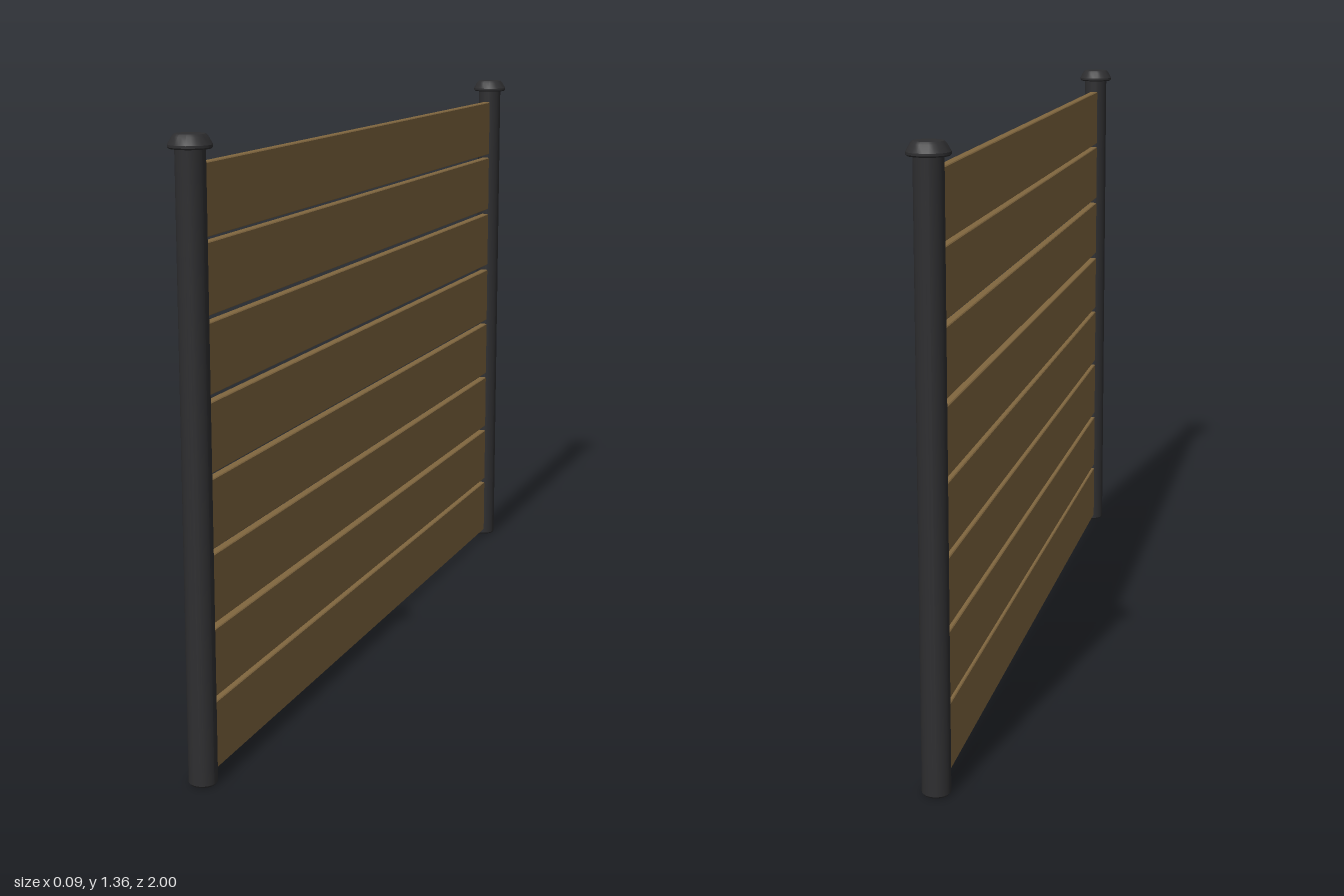
import * as THREE from 'three';
import { toCreasedNormals } from 'three/addons/utils/BufferGeometryUtils.js';

const metal = new THREE.MeshStandardMaterial({ color: 0x2e2e30 });
const wood = new THREE.MeshStandardMaterial({ color: 0x80663f });

const POST_Z = 0.955;

// Turned part from [radius, height] pairs, smooth around and crisp at the edges
function turned(name, profile) {
  const points = profile.map(([r, y]) => new THREE.Vector2(r, y));
  const geometry = toCreasedNormals(new THREE.LatheGeometry(points, 24), 0.5);
  const mesh = new THREE.Mesh(geometry, metal);
  mesh.name = name;
  return mesh;
}

function createPost(name, z) {
  const post = new THREE.Group();
  post.name = name;
  // Round shaft with a small chamfer at the foot
  post.add(turned('shaft', [[0, 0], [0.028, 0], [0.031, 0.004], [0.031, 1.336]]));
  // Flared cap with a sloped rim
  post.add(turned('cap', [
    [0, 1.332], [0.042, 1.332], [0.045, 1.335], [0.045, 1.34],
    [0.036, 1.356], [0.031, 1.361], [0, 1.362],
  ]));
  post.position.z = z;
  return post;
}

// Board with softly chamfered long edges, running along z
function createPlank(bottom, index) {
  const h = 0.15, t = 0.01, c = 0.002, length = 2 * POST_Z - 0.04;
  const section = new THREE.Shape([
    [-t + c, 0], [t - c, 0], [t, c], [t, h - c],
    [t - c, h], [-t + c, h], [-t, h - c], [-t, c],
  ].map(([x, y]) => new THREE.Vector2(x, y)));
  const geometry = new THREE.ExtrudeGeometry(section, { depth: length, bevelEnabled: false });
  const plank = new THREE.Mesh(geometry, wood);
  plank.name = `plank${index + 1}`;
  plank.position.set(0, bottom, -length / 2);
  return plank;
}

export function createModel() {
  const fence = new THREE.Group();
  fence.name = 'fencePanel';
  fence.add(createPost('frontPost', POST_Z), createPost('backPost', -POST_Z));

  // Slightly uneven gaps between the boards
  const planks = new THREE.Group();
  planks.name = 'planks';
  [0.014, 0.175, 0.338, 0.5, 0.662, 0.827, 0.991, 1.151]
    .forEach((bottom, i) => planks.add(createPlank(bottom, i)));
  fence.add(planks);
  return fence;
}
